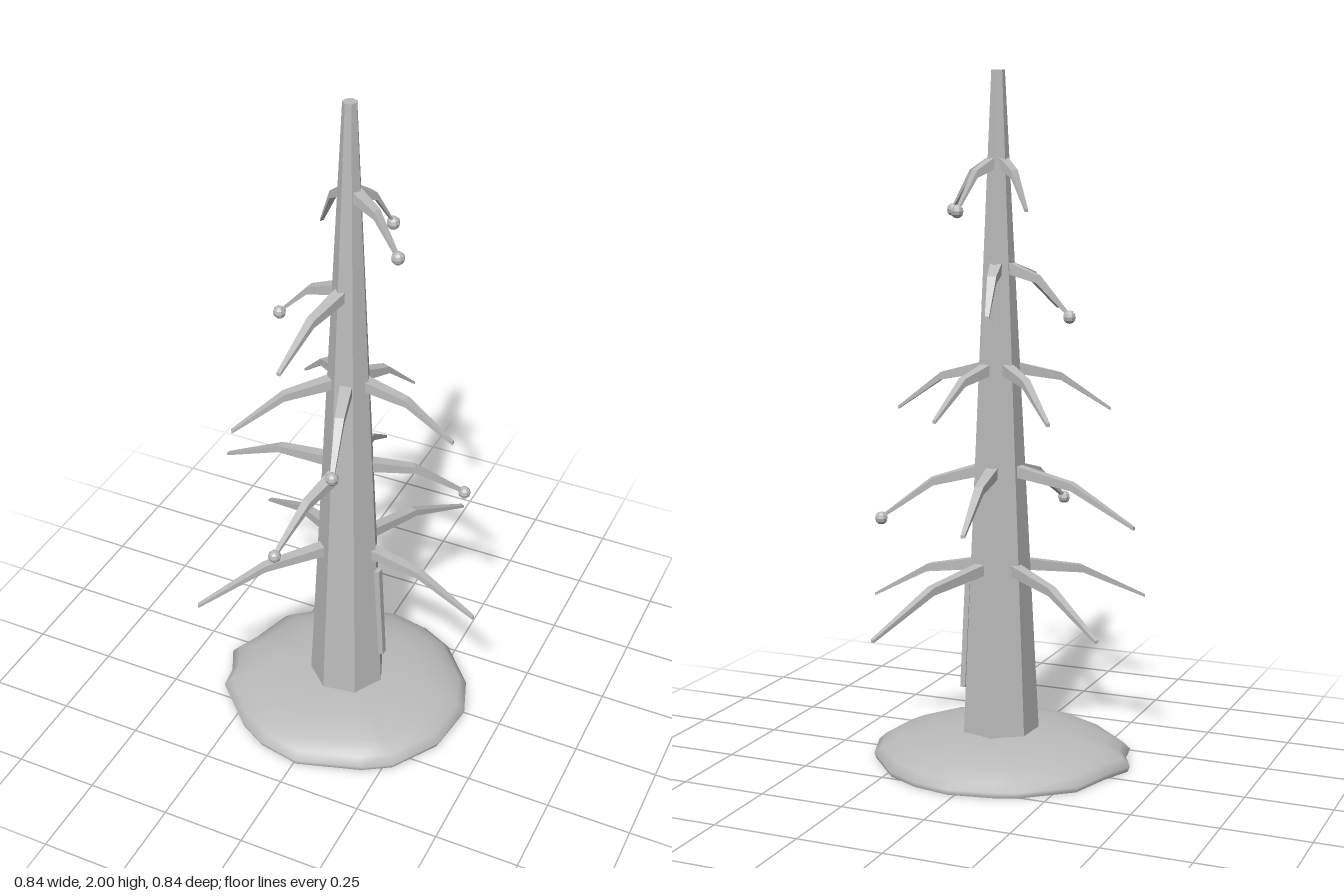
import * as THREE from 'three';

const TOP = 2;
// Trunk axis and radius at a given height
const axisX = (y) => 0.012 - 0.002 * y;
const axisZ = (y) => 0.055 - 0.0125 * y;
const trunkRadius = (y) => 0.12 - 0.05 * y;

function flat(geometry) {
  const g = geometry.index ? geometry.toNonIndexed() : geometry;
  g.computeVertexNormals();
  return g;
}

function indexed(positions, index) {
  const g = new THREE.BufferGeometry();
  g.setAttribute('position', new THREE.Float32BufferAttribute(positions, 3));
  g.setIndex(index);
  return g;
}

// Seven-sided leaning taper
function trunkGeometry() {
  const g = new THREE.CylinderGeometry(1, 1, TOP, 7, 1);
  const p = g.attributes.position;
  const turn = THREE.MathUtils.degToRad(55);
  for (let i = 0; i < p.count; i++) {
    const y = p.getY(i) + TOP / 2;
    const x = p.getX(i), z = p.getZ(i);
    const r = Math.hypot(x, z) * trunkRadius(y);
    // the cylinder's first corner lies on +z
    const a = Math.atan2(z, x) - Math.PI / 2 + turn;
    p.setXYZ(i, axisX(y) + r * Math.cos(a), Math.max(y, 0.005), axisZ(y) + r * Math.sin(a));
  }
  return flat(g);
}

// Four-sided bar through [point, width, height] sections, heading along (dx, dz)
function barGeometry(sections, dx, dz) {
  const pos = [], index = [0, 2, 1, 0, 3, 2];
  const corners = [[1, 1], [-1, 1], [-1, -1], [1, -1]];
  for (const [c, w, h] of sections) {
    for (const [s, u] of corners) {
      pos.push(c[0] + dz * s * w / 2, c[1] + u * h / 2, c[2] - dx * s * w / 2);
    }
  }
  for (let k = 0; k < sections.length - 1; k++) {
    for (let i = 0; i < 4; i++) {
      const a = k * 4 + i, b = k * 4 + (i + 1) % 4;
      index.push(a, b, b + 4, a, b + 4, a + 4);
    }
  }
  const e = (sections.length - 1) * 4;
  index.push(e, e + 1, e + 2, e, e + 2, e + 3);
  return flat(indexed(pos, index));
}

// Drooping branch from inside the trunk to its tip
function branchGeometry(y, tx, tz) {
  const ax = axisX(y), az = axisZ(y);
  const len = Math.hypot(tx - ax, tz - az);
  const dx = (tx - ax) / len, dz = (tz - az) / len;
  const start = trunkRadius(y) * 0.6;
  const at = (r, h) => [ax + dx * r, h, az + dz * r];
  return barGeometry([
    [at(start, y - 0.015), 0.036, 0.034],
    [at(start + (len - start) * 0.5, y - 0.047), 0.026, 0.022],
    [at(len, y - 0.147), 0.012, 0.009],
  ], dx, dz);
}

// Uneven mound with a smooth top and a flat underside
function moundGeometry() {
  const rim = [
    [0.02, -0.31], [0.13, -0.29], [0.23, -0.24], [0.345, -0.11], [0.388, 0.01], [0.368, 0.17],
    [0.28, 0.31], [0.2, 0.36], [0.01, 0.42], [-0.12, 0.395], [-0.21, 0.345], [-0.34, 0.22],
    [-0.35, 0.15], [-0.39, 0.07], [-0.35, -0.02], [-0.31, -0.15], [-0.175, -0.26], [-0.11, -0.285],
  ];
  const rings = [[0.985, 0], [1, 0.016], [0.94, 0.038], [0.82, 0.06], [0.6, 0.08], [0.3, 0.09], [0.01, 0.092]];
  const n = rim.length, cz = 0.055, pos = [], index = [];
  for (const [s, y] of rings) {
    for (const [x, z] of rim) pos.push(x * s, y, cz + (z - cz) * s);
  }
  for (let k = 0; k < rings.length - 1; k++) {
    for (let i = 0; i < n; i++) {
      const a = k * n + i, b = k * n + (i + 1) % n;
      index.push(a, a + n, b, b, a + n, b + n);
    }
  }
  const base = pos.length / 3;
  for (const [x, z] of rim) pos.push(x * 0.985, 0, cz + (z - cz) * 0.985);
  pos.push(0, 0, cz);
  for (let i = 0; i < n; i++) index.push(base + n, base + i, base + (i + 1) % n);
  const g = indexed(pos, index);
  g.computeVertexNormals();
  return g;
}

export function createModel() {
  const model = new THREE.Group();
  model.name = 'bareTree';
  const grey = new THREE.MeshStandardMaterial({ color: 0xbbbbbb });
  grey.name = 'grey';
  const add = (name, geometry, parent = model) => {
    const mesh = new THREE.Mesh(geometry, grey);
    mesh.name = name;
    parent.add(mesh);
    return mesh;
  };

  add('mound', moundGeometry());
  add('trunk', trunkGeometry());

  // Thin upright sliver against the left of the trunk
  add('sliver', flat(new THREE.BoxGeometry(0.016, 0.32, 0.022)
    .rotateZ(0.05).translate(0.119, 0.36, 0.055)));

  // Tiers of branches: height, then tip x, tip z, and 1 for a bauble
  const tiers = [
    [0.6, [0.19, -0.42], [-0.377, -0.19], [0.42, 0.06], [-0.335, 0.355]],
    [0.885, [-0.422, -0.015], [-0.073, 0.358, 1], [0.298, -0.142, 1], [-0.027, -0.298]],
    [1.18, [0.322, 0.028], [-0.26, 0.24], [0.088, 0.316, 1], [0.102, -0.202], [-0.21, -0.132]],
    [1.467, [-0.212, 0.025, 1], [-0.07, 0.31], [-0.027, -0.13]],
    [1.76, [0.08, -0.09, 1], [0.168, 0.078, 1], [-0.1, -0.022]],
  ];
  const ball = flat(new THREE.SphereGeometry(0.019, 8, 6));
  tiers.forEach(([y, ...tips], t) => {
    const tier = new THREE.Group();
    tier.name = `branchTier${t + 1}`;
    model.add(tier);
    for (const [x, z, hasBall] of tips) {
      add('branch', branchGeometry(y, x, z), tier);
      if (hasBall) add('bauble', ball, tier).position.set(x, y - 0.15, z);
    }
  });
  return model;
}
